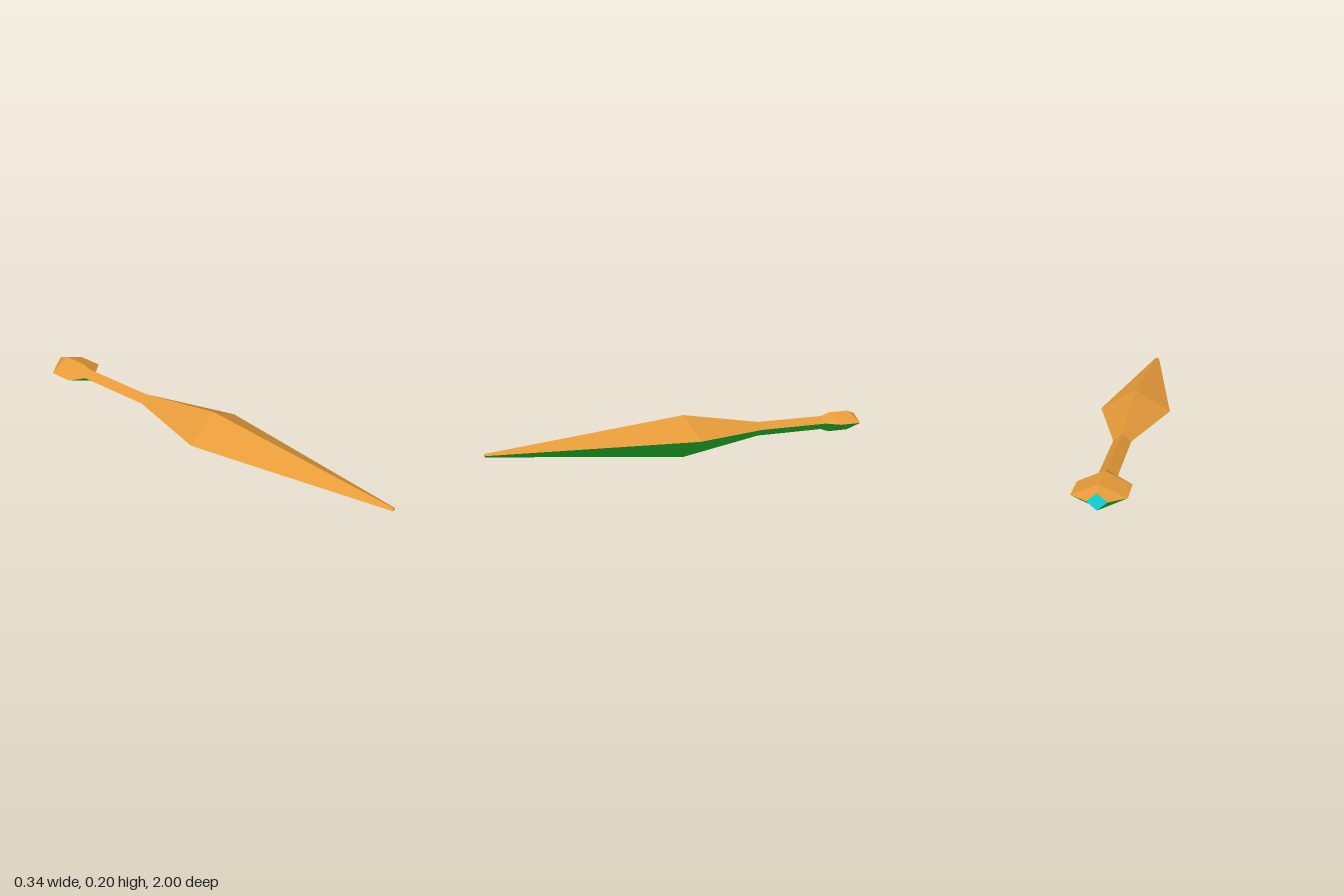
import * as THREE from 'three';

const MID = 0.103; // height of the seam between upper and lower halves

// Cross-sections from front to back: [z, half width, half height]
const tip = [1, 0.0125, 0.0075], widest = [0.045, 0.169, 0.102];
const neck = [-0.38, 0.04, 0.035], collar = [-0.78, 0.04, 0.035];
const knobFront = [-0.827, 0.109, 0.051], knobBack = [-0.953, 0.109, 0.051];
const end = [-1, 0.04, 0.035];

// Corner k of a diamond section: right edge, top, left edge, bottom
function corner([z, w, h], k) {
  const a = k * Math.PI / 2;
  return new THREE.Vector3(w * Math.cos(a), MID + h * Math.sin(a), z);
}

// Mesh of four-cornered facets, each shaded evenly with one normal
function facetMesh(facets, material, name) {
  const positions = [], normals = [];
  for (const [a, b, c, d] of facets) {
    const normal = c.clone().sub(a).cross(d.clone().sub(b)).normalize();
    for (const p of [a, b, c, a, c, d]) {
      positions.push(...p.toArray());
      normals.push(...normal.toArray());
    }
  }
  const geometry = new THREE.BufferGeometry();
  geometry.setAttribute('position', new THREE.Float32BufferAttribute(positions, 3));
  geometry.setAttribute('normal', new THREE.Float32BufferAttribute(normals, 3));
  const mesh = new THREE.Mesh(geometry, material);
  mesh.name = name;
  return mesh;
}

// Two flat sides, starting at corner k, joined along a run of sections
function halfShell(sections, first, material, name) {
  const facets = [];
  for (let i = 0; i < sections.length - 1; i++) {
    const near = sections[i], far = sections[i + 1];
    for (let k = first; k < first + 2; k++) {
      facets.push([corner(near, k), corner(far, k), corner(far, k + 1), corner(near, k + 1)]);
    }
  }
  return facetMesh(facets, material, name);
}

// Diamond-shaped end face
function cap(section, order, material, name) {
  return facetMesh([order.map(k => corner(section, k))], material, name);
}

function paint(name, color) {
  const material = new THREE.MeshStandardMaterial({ color });
  material.name = name;
  return material;
}

export function createModel() {
  const orange = paint('orange', 0xe69b39);
  const green = paint('green', 0x2ee63c);
  const teal = paint('teal', 0x12e4e6);

  const model = new THREE.Group();
  model.name = 'dagger';
  const parts = {
    blade: [tip, widest, neck],
    handle: [neck, collar],
    pommel: [collar, knobFront, knobBack, end],
  };
  // Each part is orange above the seam and green below it
  for (const [name, sections] of Object.entries(parts)) {
    const part = new THREE.Group();
    part.name = name;
    part.add(halfShell(sections, 0, orange, name + 'Upper'));
    part.add(halfShell(sections, 2, green, name + 'Lower'));
    model.add(part);
  }
  model.add(cap(tip, [0, 1, 2, 3], orange, 'bladeTip'));
  model.add(cap(end, [3, 2, 1, 0], teal, 'pommelEnd'));
  return model;
}
